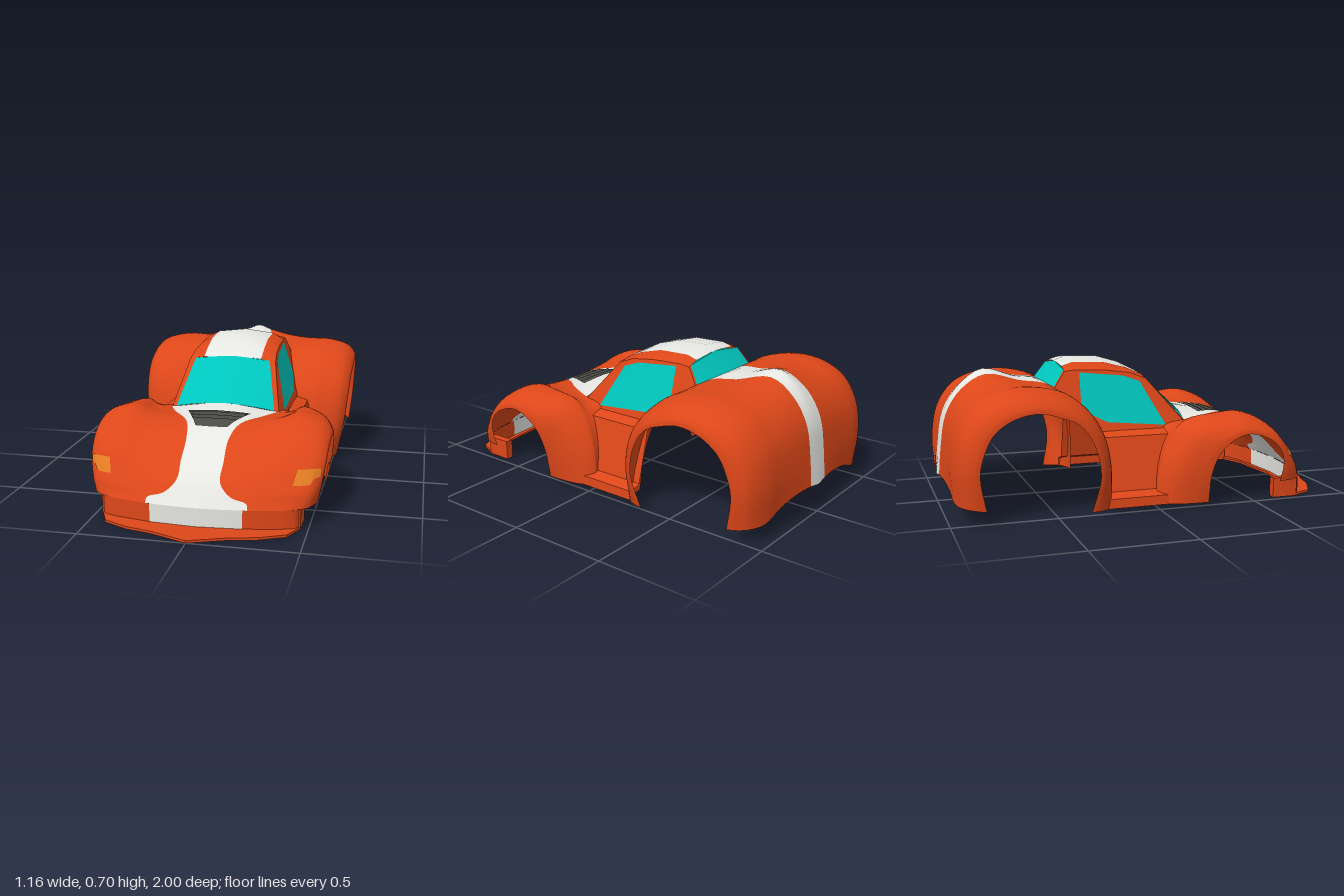
import * as THREE from 'three';

const mat = (name, color) => {
  const m = new THREE.MeshStandardMaterial({ color, side: THREE.DoubleSide });
  m.name = name;
  return m;
};
const V = (p) => new THREE.Vector3(...p);
const lerp = THREE.MathUtils.lerp;

// Full-width cross-section from its left half (first point on the centre line)
const mirrorRow = (row) => [...row.slice(1).reverse().map(([x, y, z]) => [-x, y, z]), ...row];

// Splined skin through rows of points; pick(row, col) gives a material index, or -1 for no face
function skin(rows, su, sv, pick) {
  const W = (rows[0].length - 1) * su + 1, H = (rows.length - 1) * sv + 1;
  const wide = rows.map((r) => (su === 1 ? r.map(V) : new THREE.CatmullRomCurve3(r.map(V)).getPoints(W - 1)));
  const pos = new Float32Array(W * H * 3);
  for (let i = 0; i < W; i++) {
    const line = wide.map((r) => r[i]);
    const pts = sv === 1 ? line : new THREE.CatmullRomCurve3(line).getPoints(H - 1);
    pts.forEach((p, j) => p.toArray(pos, (j * W + i) * 3));
  }
  const lists = [];
  for (let j = 0; j < H - 1; j++) for (let i = 0; i < W - 1; i++) {
    const m = pick(Math.floor(j / sv), Math.floor(i / su));
    if (m < 0) continue;
    const a = j * W + i;
    (lists[m] ??= []).push(a, a + 1, a + W, a + 1, a + W + 1, a + W);
  }
  const g = new THREE.BufferGeometry();
  g.setAttribute('position', new THREE.BufferAttribute(pos, 3));
  g.setIndex(lists.flat());
  let start = 0;
  lists.forEach((l, m) => { g.addGroup(start, l.length, m); start += l.length; });
  g.computeVertexNormals();
  return g;
}

// Distance of a mirrored column span from the centre line
const half = (c, n) => (c >= n ? c - n : n - 1 - c);

// Body section: deck blends from the centre line to the fender crest, sagging by dip, then a quarter ellipse to the wheel arch
function section([cz, cy, inner, pz, py, az, ay, w], crestX, power, dip) {
  const row = [[0, cy, cz]];
  for (const k of [0, .33, .67, 1]) {
    const x = lerp(inner, crestX, k), t = (x / crestX) ** power;
    row.push([x, lerp(cy, py, t) - dip * 4 * t * (1 - t), lerp(cz, pz, t)]);
  }
  for (const deg of [45, 75, 90]) {
    const a = THREE.MathUtils.degToRad(deg), t = 1 - Math.cos(a);
    row.push([lerp(crestX, w, Math.sin(a)), lerp(py, ay, t), lerp(pz, az, t)]);
  }
  return mirrorRow(row);
}

export function createModel() {
  const car = new THREE.Group();
  car.name = 'carBody';
  const orange = mat('orangePaint', 0xdd4719), white = mat('whiteStripe', 0xe6e6e2);
  const teal = mat('tealGlass', 0x00c6bd), grey = mat('darkVent', 0x4b4b48), amber = mat('amberLamp', 0xe47d22);
  const paints = [orange, white];
  const add = (name, geo, m, parent = car) => {
    const mesh = new THREE.Mesh(geo, m);
    mesh.name = name;
    parent.add(mesh);
    return mesh;
  };

  // Each row: centre z, y; stripe or inner edge x; crest z, y; arch z, y; half width
  const frontRows = [
    [.84, .1, .235, .785, .1, .62, .1, .53],
    [.825, .122, .23, .77, .13, .63, .15, .54],
    [.808, .147, .155, .758, .16, .632, .18, .545],
    [.77, .2, .102, .73, .205, .63, .21, .55],
    [.69, .27, .1, .675, .29, .612, .26, .557],
    [.585, .345, .1, .575, .39, .56, .315, .562],
    [.47, .39, .13, .44, .445, .44, .355, .567],
    [.34, .41, .22, .32, .44, .355, .33, .567],
    [.235, .43, .275, .17, .415, .285, .265, .56],
    [.09, .45, .29, .1, .35, .248, .16, .545],
    [.03, .34, .345, .025, .2, .245, .09, .533],
    [0, .15, .37, 0, .02, .245, .02, .52],
  ].map((r, i) => section(r, .4 + .018 * Math.max(0, i - 8), 2, i < 5 ? 0 : .18 * Math.max(0, r[2] - .1)));
  const hood = add('hoodAndFrontFenders', skin(frontRows, 4, 4, (r, c) => {
    const h = half(c, 7);
    return h > 0 ? 0 : r < 8 ? 1 : -1;
  }), paints);

  // The deck sags beside its raised tail, and the rear skirt stays level between the corner flaps
  const rearDip = { 5: .008, 6: .022, 7: .01, 10: -.03 };
  const rearRows = [
    [-.22, .02, .37, -.22, .02, -.345, .02, .52],
    [-.225, .2, .34, -.225, .2, -.31, .2, .555],
    [-.25, .36, .295, -.255, .36, -.35, .36, .572],
    [-.35, .46, .265, -.325, .48, -.42, .45, .578],
    [-.475, .59, .145, -.43, .565, -.5, .485, .582],
    [-.6, .612, .11, -.59, .605, -.6, .51, .582],
    [-.76, .655, .065, -.73, .595, -.71, .49, .58],
    [-.88, .575, .065, -.855, .54, -.8, .43, .574],
    [-.955, .45, .065, -.94, .425, -.845, .345, .566],
    [-.985, .28, .065, -.973, .26, -.868, .24, .557],
    [-1, .14, .065, -.965, .085, -.84, .07, .54],
  ].map((r, i) => section(r, .42, 1, rearDip[i] ?? 0));
  add('rearDeckAndFenders', skin(rearRows, 4, 4, (r, c) => {
    const h = half(c, 7);
    return h > 0 ? 0 : r < 4 ? -1 : 1;
  }), paints);

  // Cabin: sides lean inward with height and taper toward the windscreen
  const sideX = (y, z) => .297 - (y - .38) * .315 - .1 * Math.max(0, z);
  const roofEdge = [[.02, .602], [-.06, .632], [-.18, .648], [-.34, .655], [-.395, .65]];
  const roofTop = [[.625, .615], [.665, .65], [.7, .682], [.705, .687], [.683, .67]];
  const roof = roofEdge.map(([z, y], i) => mirrorRow([[0, roofTop[i][0], z], [.15, roofTop[i][1], z], [sideX(y, z), y, z]]));
  add('roof', skin(roof, 1, 1, (r, c) => (half(c, 2) === 0 ? 1 : 0)), paints);

  const windscreen = [
    [[0, .43, .238], [.14, .416, .228], [.252, .394, .208]],
    [[0, .625, .02], [.1, .618, .02], [.195, .608, .02]],
  ];
  add('windscreen', skin(windscreen.map(mirrorRow), 3, 1, () => 0), [teal]);
  const rearGlass = [
    [[0, .683, -.395], [.2, .656, -.395]],
    [[0, .59, -.48], [.228, .567, -.458]],
  ];
  add('rearWindow', skin(rearGlass.map(mirrorRow), 1, 1, () => 0), [teal]);

  const windowPts = [[.105, .372], [-.015, .59], [-.1, .62], [-.32, .642], [-.325, .465], [-.2, .402]].map((p) => new THREE.Vector2(...p));
  const sidePts = [[.2, .39], ...roofEdge, [-.46, .56], [-.34, .445], [-.25, .36], [.1, .355]].map((p) => new THREE.Vector2(...p));
  const sideShape = new THREE.Shape(sidePts);
  sideShape.holes.push(new THREE.Path(windowPts));
  // Flat side outline (z, y) laid onto the leaning cabin side
  const lean = (shape, s) => {
    const g = new THREE.ShapeGeometry(shape), p = g.attributes.position;
    for (let i = 0; i < p.count; i++) p.setXYZ(i, s * sideX(p.getY(i), p.getX(i)), p.getY(i), p.getX(i));
    if (s > 0) g.index.array.reverse();
    g.computeVertexNormals();
    return g;
  };

  // Door and sill section from window rail down: x, y, front z
  const door = [[.3, .36, .1], [.36, .34, .1], [.395, .2, .04], [.425, .085, .03], [.487, .066, .08], [.49, .02, .08]];
  // Pillars: glass corner, then height and depth of the cabin side
  const frontPillar = [[.252, .394, .208, .39, .2], [.195, .608, .02, .602, .02]];
  const rearPillar = [[.2, .656, -.395, .65, -.395], [.228, .567, -.458, .56, -.46]];

  for (const s of [1, -1]) {
    const side = new THREE.Group();
    side.name = s > 0 ? 'leftSide' : 'rightSide';
    car.add(side);
    // Rows run the other way on the mirrored side to keep faces outward
    const turn = (row) => (s > 0 ? row : row.reverse());
    add('cabinFrame', lean(sideShape, s), orange, side);
    add('sideWindow', lean(new THREE.Shape(windowPts), s), teal, side);
    for (const [name, ends] of [['windscreenPillar', frontPillar], ['rearPillar', rearPillar]]) {
      const rows = ends.map(([x, y, z, y2, z2]) => turn([[s * x, y, z], [s * sideX(y2, z2), y2, z2]]));
      add(name, skin(rows, 1, 1, () => 0), [orange], side);
    }
    const rows = [0, 1].map((back) => turn(door.map(([x, y, z]) => [s * x, y, back ? -.26 : z])));
    const doorGeo = skin(rows, 1, 1, () => 0).toNonIndexed();
    doorGeo.computeVertexNormals();
    add('doorAndSill', doorGeo, [orange], side);
    add('bumperEnd', new THREE.BoxGeometry(.04, .09, .13), orange, side).position.set(s * .446, .054, .685);
  }

  // Front bumper band and splitter lip
  const nose = [[0, .84], [.215, .824], [.38, .791], [.44, .77], [.467, .74], [.467, .62]];
  const bumper = [.005, .1].map((y) => mirrorRow(nose.map(([x, z]) => [x, y, z])));
  add('frontBumper', skin(bumper, 1, 1, (r, c) => (half(c, 5) === 0 ? 1 : 0)), paints);
  const lipHalf = [[0, 1], [.18, .93], [.3, .903], [.42, .845], [.467, .74], [.467, .62],
    [.43, .62], [.42, .74], [.3, .79], [0, .82]];
  const lipPts = [...lipHalf, ...lipHalf.slice(1, -1).reverse().map(([x, z]) => [-x, z])];
  const lip = new THREE.ExtrudeGeometry(new THREE.Shape(lipPts.map((p) => new THREE.Vector2(...p))), { depth: .012, bevelEnabled: false });
  add('splitterLip', lip.rotateX(Math.PI / 2).translate(0, .012, 0), orange);

  // Thin plates projected onto the hood skin
  const ray = new THREE.Raycaster();
  const project = (x, y, z, dir, lift) => {
    ray.set(new THREE.Vector3(x, y, z), dir);
    const hit = ray.intersectObject(hood)[0];
    return (hit ? hit.point : new THREE.Vector3(x, y, .65)).addScaledVector(dir, -lift).toArray();
  };
  const down = new THREE.Vector3(0, -1, 0), back = new THREE.Vector3(0, 0, -1);
  const ventPlate = (z0, z1, lift) => [0, .25, .5, .75, 1].map((t) => {
    const z = lerp(z0, z1, t), w = .157 - (z - .33) * .46;
    return [-1, -.5, 0, .5, 1].map((u) => project(u * w, 2, z, down, lift));
  });
  add('hoodVent', skin(ventPlate(.505, .33, .005), 1, 1, () => 0), [grey]);
  for (const z of [.36, .4, .44]) add('ventSlat', skin(ventPlate(z + .006, z - .006, .009), 1, 1, () => 0), [grey]);

  const lampLow = [[.425, .2], [.46, .2], [.5, .202], [.515, .225], [.541, .228]];
  const lampTop = [[.442, .265], [.47, .265], [.5, .265], [.52, .265], [.541, .263]];
  for (const s of [1, -1]) {
    const rows = [0, .5, 1].map((t) => lampLow.map(([x, y], i) =>
      project(s * lerp(x, lampTop[i][0], t), lerp(y, lampTop[i][1], t), 2, back, .006)));
    add(s > 0 ? 'leftHeadlamp' : 'rightHeadlamp', skin(s > 0 ? rows : rows.map((r) => r.reverse()), 1, 1, () => 0), [amber]);
  }
  return car;
}
